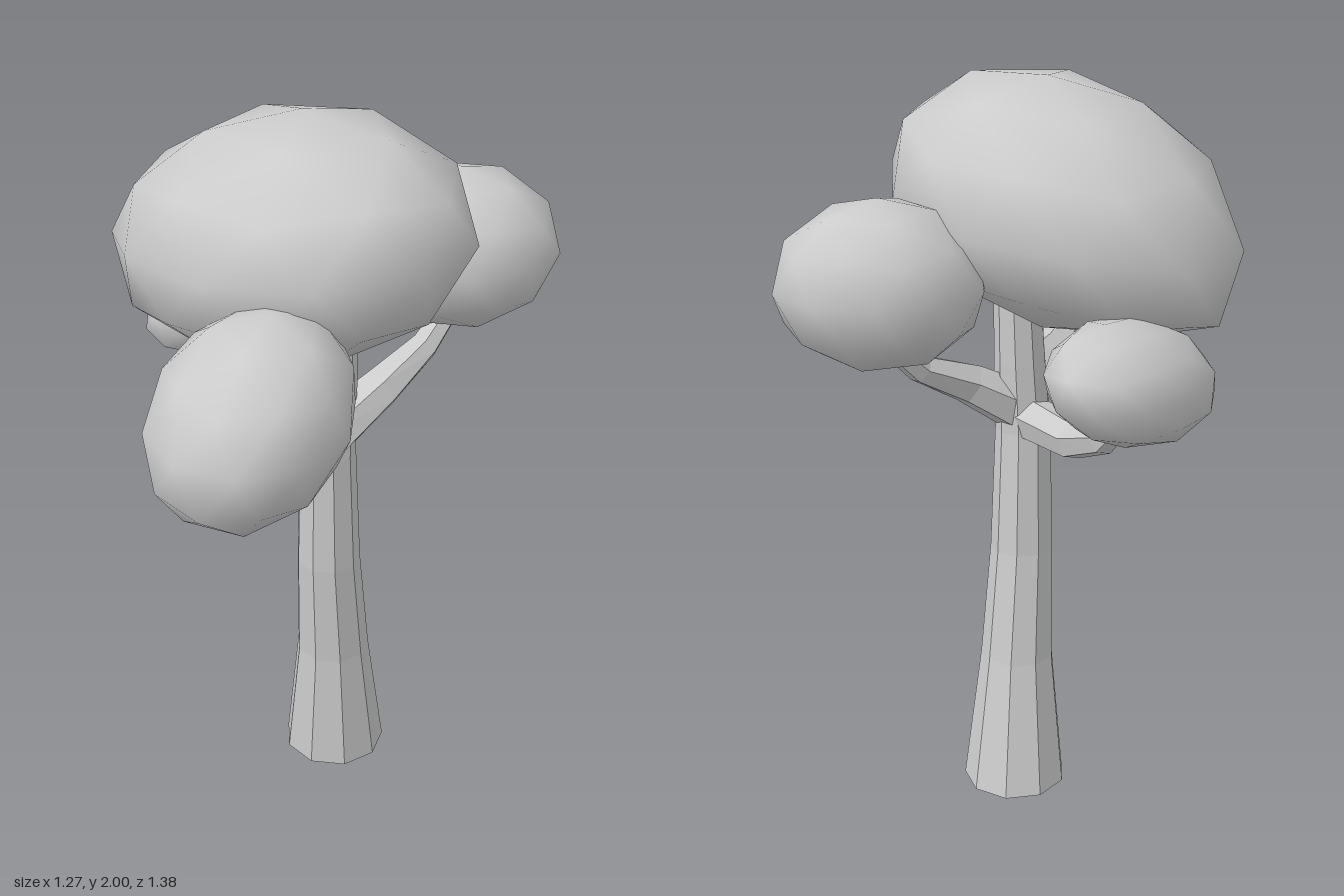
import * as THREE from 'three';
import { mergeVertices } from 'three/addons/utils/BufferGeometryUtils.js';

const bark = new THREE.MeshStandardMaterial({ color: 0xcccccc, flatShading: true, side: THREE.DoubleSide });
const leaf = new THREE.MeshStandardMaterial({ color: 0xcccccc });
const UP = new THREE.Vector3(0, 1, 0);

// Faceted limb through rings [x, y, z, radius]; level keeps every ring horizontal.
function limb(name, rings, sides, level = false) {
  const centres = rings.map(([x, y, z]) => new THREE.Vector3(x, y, z));
  const pos = [], index = [];
  rings.forEach((ring, i) => {
    const next = centres[Math.min(i + 1, rings.length - 1)];
    const prev = centres[Math.max(i - 1, 0)];
    const dir = level ? UP : next.clone().sub(prev).normalize();
    const turn = new THREE.Quaternion().setFromUnitVectors(UP, dir);
    for (let j = 0; j < sides; j++) {
      const a = ((j + 0.67) / sides) * Math.PI * 2;
      const p = new THREE.Vector3(Math.sin(a), 0, Math.cos(a)).multiplyScalar(ring[3]);
      p.applyQuaternion(turn).add(centres[i]);
      pos.push(p.x, p.y, p.z);
      if (i > 0) {
        const k = (j + 1) % sides, lo = (i - 1) * sides, hi = i * sides;
        index.push(lo + j, lo + k, hi + k, lo + j, hi + k, hi + j);
      }
    }
  });
  // close the tip
  const last = (rings.length - 1) * sides;
  for (let j = 1; j < sides - 1; j++) index.push(last, last + j, last + j + 1);
  const geo = new THREE.BufferGeometry();
  geo.setAttribute('position', new THREE.Float32BufferAttribute(pos, 3));
  geo.setIndex(index);
  const flat = geo.toNonIndexed();
  flat.computeVertexNormals();
  const mesh = new THREE.Mesh(flat, bark);
  mesh.name = name;
  return mesh;
}

// Smooth low-poly foliage: a sheared icosphere fitted to the box min..max.
function crown(name, min, max, { xy = 0, xz = 0, yz = 0 }) {
  let geo = new THREE.IcosahedronGeometry(1, 1);
  geo.deleteAttribute('normal');
  geo.deleteAttribute('uv');
  geo = mergeVertices(geo, 1e-4);
  // stand it on a corner, so that its equator is a decagon with corners on the x axis
  const corner = new THREE.Vector3(-1, (1 + Math.sqrt(5)) / 2, 0).normalize();
  geo.applyQuaternion(new THREE.Quaternion().setFromUnitVectors(corner, UP));
  geo.rotateY(Math.PI / 2);
  // lean it
  const b = Math.sqrt(1 - xy * xy);
  const c = (yz - xy * xz) / b;
  const d = Math.sqrt(1 - xz * xz - c * c);
  geo.applyMatrix4(new THREE.Matrix4().set(
    1, 0, 0, 0,
    xy, b, 0, 0,
    xz, c, d, 0,
    0, 0, 0, 1));
  // fit it to its box
  geo.computeBoundingBox();
  const lo = new THREE.Vector3(...min), size = new THREE.Vector3(...max).sub(lo);
  const scale = size.divide(geo.boundingBox.getSize(new THREE.Vector3()));
  const from = geo.boundingBox.min.clone();
  geo.translate(-from.x, -from.y, -from.z);
  geo.scale(scale.x, scale.y, scale.z);
  geo.translate(lo.x, lo.y, lo.z);
  geo.computeVertexNormals();
  const mesh = new THREE.Mesh(geo, leaf);
  mesh.name = name;
  return mesh;
}

// Draw the foliage out around one spot, fading to nothing at the given reach.
function pull(mesh, spot, offset, reach) {
  const pos = mesh.geometry.attributes.position;
  const centre = new THREE.Vector3(...spot), move = new THREE.Vector3(...offset);
  const p = new THREE.Vector3();
  for (let i = 0; i < pos.count; i++) {
    p.fromBufferAttribute(pos, i);
    p.addScaledVector(move, Math.max(0, 1 - p.distanceTo(centre) / reach));
    pos.setXYZ(i, p.x, p.y, p.z);
  }
  mesh.geometry.computeVertexNormals();
}

export function createModel() {
  const tree = new THREE.Group();
  tree.name = 'tree';

  // Flared, gently leaning trunk
  tree.add(limb('trunk', [
    [0.012, 0, -0.072, 0.144],
    [0.042, 0.38, -0.042, 0.102],
    [0.06, 0.7, -0.012, 0.088],
    [0.065, 1.05, -0.003, 0.077],
    [0.062, 1.25, -0.015, 0.07],
    [0.06, 1.5, -0.025, 0.062],
  ], 9, true));

  // Three branches
  tree.add(limb('rightBranch', [
    [0.05, 1.085, 0, 0.063],
    [-0.2, 1.105, -0.02, 0.052],
    [-0.34, 1.16, -0.03, 0.041],
    [-0.44, 1.25, -0.04, 0.03],
  ], 6));
  tree.add(limb('frontBranch', [
    [0.06, 1.2, 0, 0.066],
    [0.15, 1.212, 0.14, 0.055],
    [0.27, 1.25, 0.3, 0.042],
    [0.34, 1.32, 0.4, 0.03],
  ], 6));
  tree.add(limb('backBranch', [
    [0.07, 1.1, 0, 0.075],
    [0.09, 1.2, -0.16, 0.058],
    [0.08, 1.275, -0.31, 0.04],
    [0.07, 1.38, -0.42, 0.03],
  ], 6));

  // Foliage
  const mainCrown = crown('mainCrown', [-0.46, 1.37, -0.32], [0.52, 2, 0.47], { xy: 0.17, xz: -0.06, yz: -0.07 });
  pull(mainCrown, [-0.38, 1.52, 0.24], [-0.06, -0.07, 0.03], 0.36);
  tree.add(mainCrown);
  tree.add(crown('frontCrown', [0.1, 1.185, 0.17], [0.635, 1.69, 0.695], { xz: 0.12, yz: -0.22 }));
  tree.add(crown('backCrown', [-0.18, 1.31, -0.69], [0.3, 1.75, -0.17], { xz: -0.14 }));
  tree.add(crown('rightCrown', [-0.635, 1.18, -0.28], [-0.24, 1.505, 0.25], { xz: 0.33, yz: -0.3 }));
  return tree;
}
